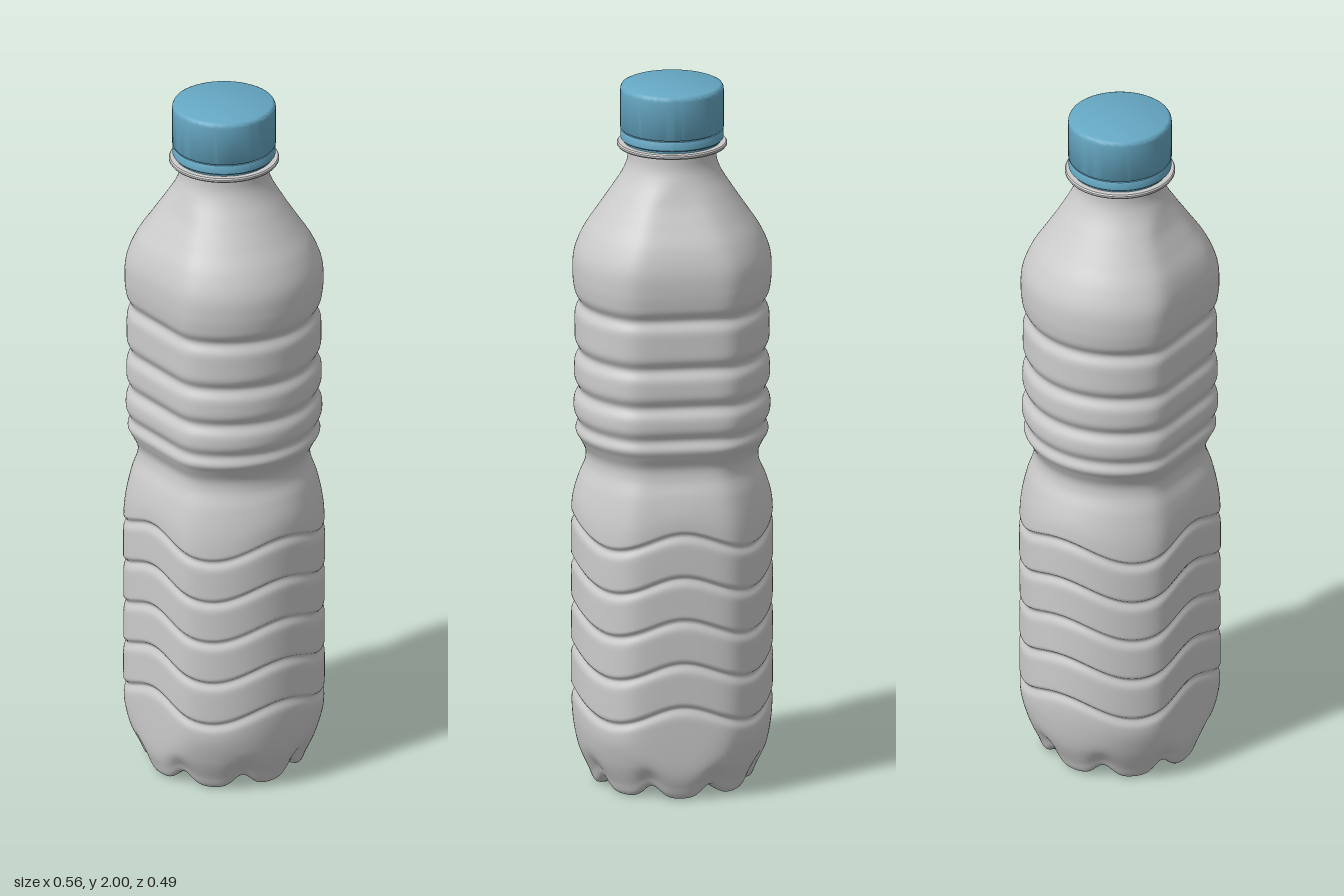
import * as THREE from 'three';
import { mergeVertices, toCreasedNormals } from 'three/addons/utils/BufferGeometryUtils.js';

const grey = new THREE.MeshStandardMaterial({ color: 0xcccccc });
const blue = new THREE.MeshStandardMaterial({ color: 0x66a8c4 });
const smooth = THREE.MathUtils.smoothstep;

// Body stations from base centre to neck: [round radius, y, distance of the flat front and back]
const STATIONS = [
  [0, 0.03, 0.243], [0.03, 0.028, 0.243], [0.05, 0.02, 0.243], [0.13, 0.012, 0.243],
  [0.19, 0.001, 0.243], [0.214, 0.004, 0.243], [0.232, 0.04, 0.242], [0.258, 0.1, 0.243],
  [0.274, 0.17, 0.244], [0.278, 0.24, 0.244], [0.278, 0.5, 0.244], [0.278, 0.76, 0.244],
  [0.273, 0.81, 0.24], [0.258, 0.87, 0.228], [0.24, 0.92, 0.212], [0.239, 0.95, 0.21],
  [0.254, 0.985, 0.224], [0.271, 1.015, 0.236], [0.272, 1.06, 0.237], [0.27, 1.2, 0.236],
  [0.27, 1.4, 0.236], [0.275, 1.46, 0.241], [0.271, 1.52, 0.239], [0.247, 1.58, 0.222],
  [0.208, 1.64, 0.189], [0.168, 1.7, 0.156], [0.137, 1.75, 0.142], [0.124, 1.785, 0.15],
  [0.122, 1.835, 0.16],
];
const RINGS = [1.38, 1.24, 1.13, 1.035];
const WAVES = [0.744, 0.62, 0.496, 0.372, 0.246];
const FEET = 8;

// Narrow dip around a centre line, with its own width above and below
const dip = (d, above, below) => Math.exp(-((d / (d > 0 ? above : below)) ** 2));

function bodyGeometry() {
  const curve = new THREE.CatmullRomCurve3(STATIONS.map(s => new THREE.Vector3(...s)));
  curve.arcLengthDivisions = 1500;
  const rows = curve.getSpacedPoints(390);
  rows[0].x = 0;
  const segments = 128;
  const geo = new THREE.LatheGeometry(rows.map(p => new THREE.Vector2(p.x, p.y)), segments);
  const pos = geo.attributes.position;

  for (let i = 0; i < pos.count; i++) {
    const { x: round, y, z: flat } = rows[i % rows.length];
    const a = Math.floor(i / rows.length) % segments / segments * Math.PI * 2;

    // circle cut by two flats with softened corners
    let r = 0;
    if (round > 0.001) {
      const cut = round * Math.abs(Math.cos(a)) / flat;
      r = round * Math.pow(1 + Math.pow(cut, 30), -1 / 30);
    }

    // level rings above the waist, wavy grooves below it
    for (const g of RINGS) r -= 0.014 * dip(y - g, 0.02, 0.02);
    if (y > 0.15) for (const g of WAVES) r -= 0.01 * dip(y - g, 0.006, 0.016);
    const wave = smooth(y, 0.1, 0.24) * (1 - smooth(y, 0.75, 0.92));
    let h = y + 0.025 * Math.cos(4 * a) * wave;

    // radial channels that divide the base into feet
    const step = Math.PI * 2 / FEET;
    const off = (a % step) - step / 2;
    h += 0.036 * dip(off, 0.16, 0.16) * smooth(round, 0.05, 0.17) * (1 - smooth(y, 0, 0.14));

    pos.setXYZ(i, r * Math.sin(a), h, r * Math.cos(a));
  }
  geo.deleteAttribute('uv');
  geo.deleteAttribute('normal');
  const merged = mergeVertices(geo, 1e-5);
  merged.computeVertexNormals();
  return merged;
}

// Turned part with crisp edges
function turned(name, profile, material) {
  const geo = new THREE.LatheGeometry(profile.map(p => new THREE.Vector2(...p)), 96);
  const mesh = new THREE.Mesh(toCreasedNormals(geo, 0.6), material);
  mesh.name = name;
  return mesh;
}

export function createModel() {
  const bottle = new THREE.Group();
  bottle.name = 'bottle';

  const body = new THREE.Mesh(bodyGeometry(), grey);
  body.name = 'body';
  bottle.add(body);

  // neck support ring
  bottle.add(turned('neckRing', [
    [0.118, 1.822], [0.149, 1.824], [0.152, 1.828], [0.152, 1.833], [0.149, 1.837], [0, 1.838],
  ], grey));

  // tamper band under the cap
  bottle.add(turned('capBand', [
    [0, 1.844], [0.139, 1.844], [0.142, 1.847], [0.142, 1.868], [0.14, 1.871], [0, 1.871],
  ], blue));

  // neck inside the gaps around the band
  bottle.add(turned('neckCore', [[0.134, 1.836], [0.134, 1.88]], blue));

  // screw cap
  bottle.add(turned('cap', [
    [0, 1.875], [0.141, 1.875], [0.143, 1.878], [0.143, 1.985], [0.142, 1.992],
    [0.139, 1.997], [0.133, 2], [0, 2],
  ], blue));

  return bottle;
}
